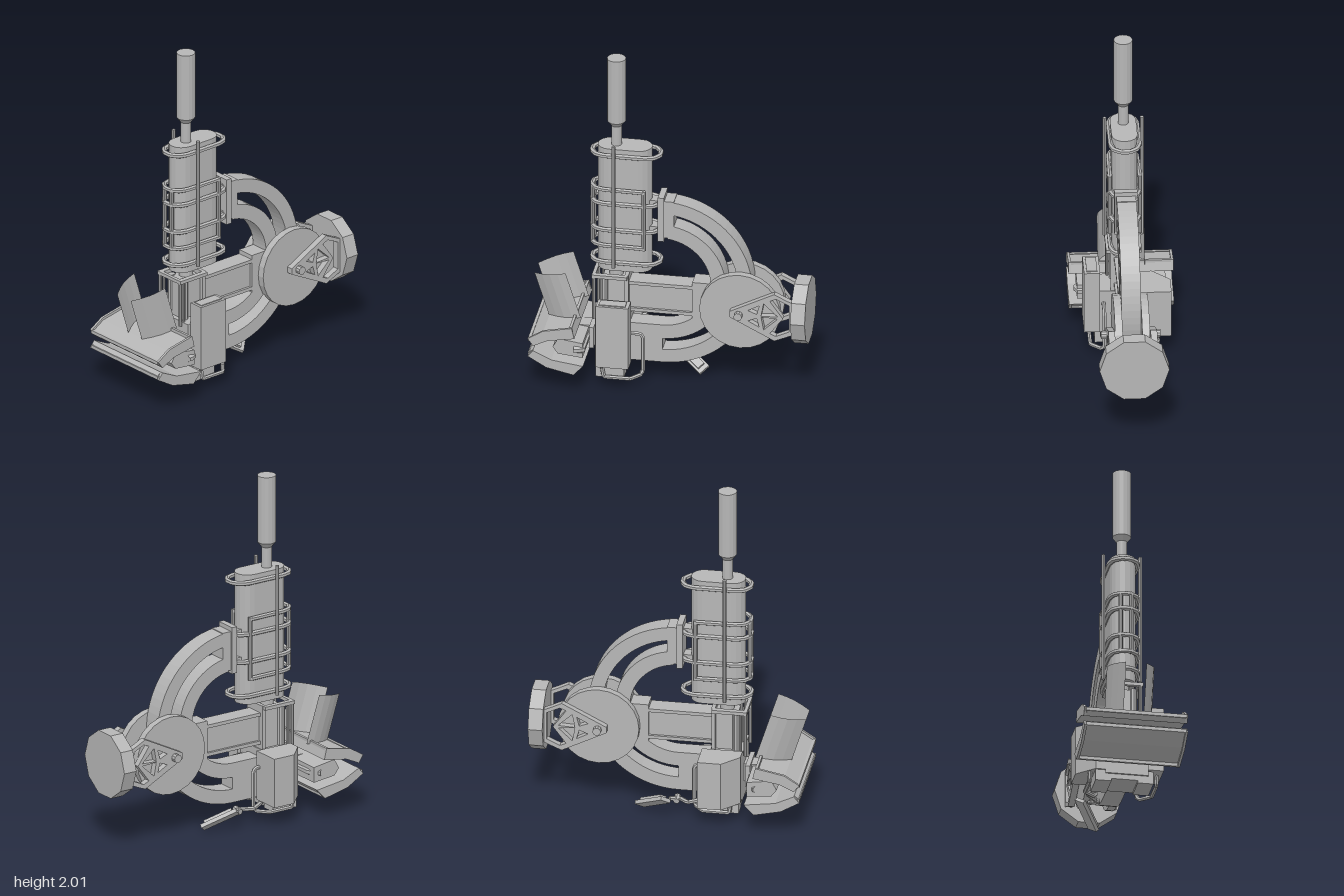
import * as THREE from 'three';

const V = (x, y, z) => new THREE.Vector3(x, y, z);

export function createModel() {
  const root = new THREE.Group();
  const grey = new THREE.MeshStandardMaterial({ color: 0xb6b6b6, flatShading: true });
  grey.name = 'plain grey';
  const plate = new THREE.MeshStandardMaterial({ color: 0xb6b6b6, flatShading: true, side: THREE.DoubleSide });
  plate.name = 'thin grey';

  const add = (name, geo, mat = grey) => {
    const m = new THREE.Mesh(geo, mat);
    m.name = name;
    root.add(m);
    return m;
  };
  // box from its limits on each axis
  const box = (name, x0, x1, y0, y1, z0, z1) => {
    const g = new THREE.BoxGeometry(x1 - x0, y1 - y0, z1 - z0);
    return add(name, g.translate((x0 + x1) / 2, (y0 + y1) / 2, (z0 + z1) / 2));
  };
  const toShape = (pts) => new THREE.Shape(pts.map((p) => new THREE.Vector2(p[0], p[1])));
  // side outline in (z, y) given a width from x0 to x1
  const side = (name, shape, x0, x1) => {
    const g = new THREE.ExtrudeGeometry(shape, { depth: x1 - x0, bevelEnabled: false, curveSegments: 18 });
    return add(name, g.rotateY(-Math.PI / 2).translate(x1, 0, 0));
  };
  // plan outline in (x, z) given a height from y0 to y1
  const plan = (name, shape, y0, y1) => {
    const g = new THREE.ExtrudeGeometry(shape, { depth: y1 - y0, bevelEnabled: false });
    return add(name, g.rotateX(Math.PI / 2).translate(0, y1, 0));
  };
  const pipe = (name, pts, r, closed = false) => {
    const c = new THREE.CatmullRomCurve3(pts, closed, 'catmullrom', 0);
    return add(name, new THREE.TubeGeometry(c, pts.length * 6, r, 6, closed), plate);
  };
  const rod = (name, a, b, r, sides = 8) => {
    const m = add(name, new THREE.CylinderGeometry(r, r, a.distanceTo(b), sides));
    m.position.copy(a).add(b).multiplyScalar(0.5);
    m.quaternion.setFromUnitVectors(V(0, 1, 0), b.clone().sub(a).normalize());
    return m;
  };
  // rounded oblong in (x, z)
  const oblong = (r, zBack, zFront, n = 8) => {
    const pts = [];
    for (let i = 0; i <= n; i++) {
      const a = (i / n) * Math.PI;
      pts.push([r * Math.cos(a), zFront - r + r * Math.sin(a)]);
    }
    for (let i = 0; i <= n; i++) {
      const a = Math.PI + (i / n) * Math.PI;
      pts.push([r * Math.cos(a), zBack + r + r * Math.sin(a)]);
    }
    return pts;
  };

  // upper shaft and tank
  const shaft = [[0, 1.44], [0.03, 1.44], [0.03, 1.575], [0.053, 1.605], [0.053, 2], [0, 2]];
  add('shaft', new THREE.LatheGeometry(shaft.map((p) => new THREE.Vector2(...p)), 16)).position.z = 0.32;
  plan('tank', toShape(oblong(0.073, 0.115, 0.425)), 0.685, 1.455);
  rod('neck', V(0, 0.62, 0.32), V(0, 0.7, 0.32), 0.04, 14);

  // cage around the tank
  for (const y of [1.415, 1.11, 0.945, 0.74])
    pipe('cageRing', oblong(0.08, 0.065, 0.458, 5).map((p) => V(p[0], y, p[1])), 0.015, true);
  for (const y of [1.2, 0.845]) {
    const front = oblong(0.08, 0.1, 0.458, 5).slice(0, 6).map((p) => V(p[0], y, p[1]));
    pipe('halfRing', [V(0.085, y, 0.15), ...front, V(-0.085, y, 0.15)], 0.014);
  }
  for (const s of [-1, 1]) {
    rod('cageRod', V(s * 0.105, 0.72, 0.32), V(s * 0.105, 1.49, 0.32), 0.011);
    rod('cageSideBar', V(s * 0.085, 0.835, 0.15), V(s * 0.085, 1.21, 0.15), 0.012);
    rod('cageFrontBar', V(s * 0.03, 0.835, 0.45), V(s * 0.03, 1.21, 0.45), 0.012);
  }

  // curved double rail, centred at z 0.05, y 0.63
  const band = (name, outer, inner) => {
    const s = new THREE.Shape();
    s.absarc(0.05, 0.63, outer, Math.PI * 0.5 + 0.1, Math.PI * 1.5, false);
    s.absarc(0.05, 0.63, inner, Math.PI * 1.5, Math.PI * 0.5 + 0.1, true);
    side(name, s, -0.055, 0.055);
  };
  band('outerRail', 0.51, 0.43);
  band('innerRail', 0.36, 0.275);
  box('railTopBlock', -0.055, 0.055, 0.91, 1.14, -0.015, 0.04);
  box('railTopPlate', -0.065, 0.065, 0.89, 1.165, 0.04, 0.075);
  for (const y of [0.945, 1.11]) box('railClamp', -0.035, 0.035, y - 0.02, y + 0.02, 0.07, 0.13);
  box('railBottomBlock', -0.055, 0.055, 0.12, 0.355, 0.05, 0.25);

  // straight arm
  box('arm', -0.04, 0.04, 0.44, 0.6, -0.15, 0.26);
  for (const y of [0.428, 0.595]) box('armFlange', -0.055, 0.055, y, y + 0.02, -0.13, 0.26);
  box('armEnd', -0.055, 0.055, 0.41, 0.64, -0.36, -0.12);

  // side discs, axle and fork
  for (const s of [-1, 1]) {
    rod('sideDisc', V(s * 0.055, 0.503, -0.397), V(s * 0.098, 0.503, -0.397), 0.23, 24);
    const fork = toShape([[-0.345, 0.52], [-0.6, 0.65], [-0.66, 0.62], [-0.705, 0.6],
      [-0.705, 0.4], [-0.66, 0.38], [-0.6, 0.355], [-0.345, 0.485]]);
    const holes = [
      [[-0.45, 0.535], [-0.5, 0.515], [-0.515, 0.57]],
      [[-0.45, 0.47], [-0.515, 0.435], [-0.5, 0.49]],
      [[-0.54, 0.585], [-0.525, 0.505], [-0.62, 0.51]],
      [[-0.54, 0.42], [-0.62, 0.495], [-0.525, 0.5]],
      [[-0.575, 0.605], [-0.61, 0.62], [-0.685, 0.585], [-0.685, 0.42], [-0.61, 0.385], [-0.575, 0.4], [-0.65, 0.5]],
    ];
    for (const h of holes) fork.holes.push(toShape(h));
    side('fork', fork, s > 0 ? 0.1 : -0.137, s > 0 ? 0.137 : -0.1);
  }
  rod('axle', V(-0.167, 0.503, -0.397), V(0.167, 0.503, -0.397), 0.024, 10);
  const wheel = add('endDisc', new THREE.CylinderGeometry(0.196, 0.196, 0.082, 10));
  wheel.geometry.rotateY(Math.PI / 10 * 5).rotateX(Math.PI / 2);
  wheel.position.set(0, 0.5, -0.742);

  // central body with its side boxes
  box('body', -0.11, 0.135, 0.1, 0.4, 0.235, 0.42);
  plan('sideTank', toShape([[-0.265, 0.19], [-0.09, 0.19], [-0.09, 0.42], [-0.165, 0.42], [-0.265, 0.325]]), 0.12, 0.41);
  box('sideBox', 0.135, 0.225, 0.145, 0.53, 0.215, 0.4);
  box('sideBoxLid', 0.15, 0.21, 0.53, 0.535, 0.235, 0.385);
  box('spine', -0.055, 0.055, 0.38, 0.635, 0.25, 0.39);
  box('spineBack', -0.075, 0.075, 0.3, 0.66, 0.24, 0.262);
  for (const s of [-1, 1]) {
    box('topRail', s * 0.085 - 0.015, s * 0.085 + 0.015, 0.64, 0.66, 0.245, 0.445);
    rod('frontPost', V(s * 0.085, 0.38, 0.435), V(s * 0.085, 0.65, 0.435), 0.01);
    rod('innerPost', V(s * 0.085, 0.38, 0.408), V(s * 0.085, 0.65, 0.408), 0.008);
    rod('column', V(s * 0.055, 0.38, 0.38), V(s * 0.055, 0.64, 0.38), 0.022, 10);
    box('foot', s * 0.12 - 0.045, s * 0.12 + 0.045, 0.055, 0.13, 0.25, 0.41);
    pipe('lowerPipe', [V(s * 0.115, 0.32, 0.24), V(s * 0.115, 0.32, 0.165), V(s * 0.115, 0.3, 0.15),
      V(s * 0.115, 0.09, 0.15), V(s * 0.13, 0.07, 0.16), V(s * 0.19, 0.07, 0.21), V(s * 0.19, 0.07, 0.36),
      V(s * 0.19, 0.13, 0.37)], 0.012);
  }
  box('topCrossbar', -0.1, 0.1, 0.64, 0.66, 0.425, 0.445);
  box('base', -0.08, 0.08, 0.07, 0.12, 0.24, 0.41);

  // front head: core, bracket and two curved trays
  box('headNeck', -0.045, 0.045, 0.2, 0.31, 0.41, 0.56);
  box('headCollar', -0.09, 0.09, 0.19, 0.32, 0.435, 0.462);
  side('headCore', toShape([[0.47, 0.21], [0.61, 0.225], [0.64, 0.265], [0.61, 0.32], [0.47, 0.3]]), -0.25, 0.25);
  pipe('headBracket', [V(-0.25, 0.26, 0.52), V(-0.2, 0.26, 0.475), V(0.25, 0.26, 0.475), V(0.25, 0.26, 0.52)], 0.02);
  const trays = [
    ['upperTray', -1, [[0.775, 0.328], [0.69, 0.382], [0.525, 0.415], [0.51, 0.35], [0.66, 0.325], [0.745, 0.285]]],
    ['lowerTray', 1, [[0.775, 0.217], [0.745, 0.255], [0.64, 0.205], [0.46, 0.18], [0.515, 0.12], [0.67, 0.155]]],
  ];
  for (const [name, dir, pts] of trays) {
    const face = dir < 0 ? [0, 1, 2] : [0, 5, 4];
    const inner = pts.map((p, i) => (face.includes(i) ? [p[0], p[1] + dir * 0.015] : p));
    side(name, toShape(inner), -0.28, 0.28);
    for (const s of [-1, 1]) side(name + 'End', toShape(pts), s > 0 ? 0.28 : -0.295, s > 0 ? 0.295 : -0.28);
    const [a, b] = [pts[face[0]], pts[face[2]]];
    box(name + 'FrontRim', -0.285, 0.285, Math.min(a[1], a[1] + dir * 0.02), Math.max(a[1], a[1] + dir * 0.02), 0.758, 0.775);
    box(name + 'BackRim', -0.285, 0.285, Math.min(b[1], b[1] + dir * 0.02), Math.max(b[1], b[1] + dir * 0.02), b[0], b[0] + 0.015);
  }

  // upright blades, bent along the middle
  for (const s of [-1, 1]) {
    const g = new THREE.PlaneGeometry(1, 1, 4, 1);
    const p = g.attributes.position;
    for (let i = 0; i < p.count; i++) {
      const u = p.getX(i) + 0.5, v = p.getY(i) + 0.5;
      const bend = 0.02 * Math.sin(u * Math.PI);
      p.setXYZ(i, s * (0.133 - 0.075 * u + bend), 0.4 - 0.05 * u + 0.275 * v, 0.5 + 0.19 * u + 0.087 * v);
    }
    g.computeVertexNormals();
    add('blade', g, plate);
  }

  // jointed sensor arm under the body
  pipe('sensorArm', [V(-0.1, 0.1, 0.21), V(-0.16, 0.1, 0.12), V(-0.1, 0.09, 0.07), V(-0.13, 0.1, 0.01)], 0.013);
  rod('sensorJoint', V(-0.13, 0.085, 0.05), V(-0.08, 0.095, 0.05), 0.018);
  const pad = new THREE.Group();
  pad.name = 'sensorPad';
  for (const [w, h, l, y] of [[0.07, 0.022, 0.22, 0], [0.045, 0.02, 0.17, 0.018]]) {
    const m = new THREE.Mesh(new THREE.BoxGeometry(w, h, l).translate(0, y, 0), grey);
    m.name = 'sensorPlate';
    pad.add(m);
  }
  pad.position.set(-0.125, 0.068, -0.085);
  pad.lookAt(V(-0.07, 0.02, -0.17));
  pad.rotateZ(0.6);
  root.add(pad);

  return root;
}
